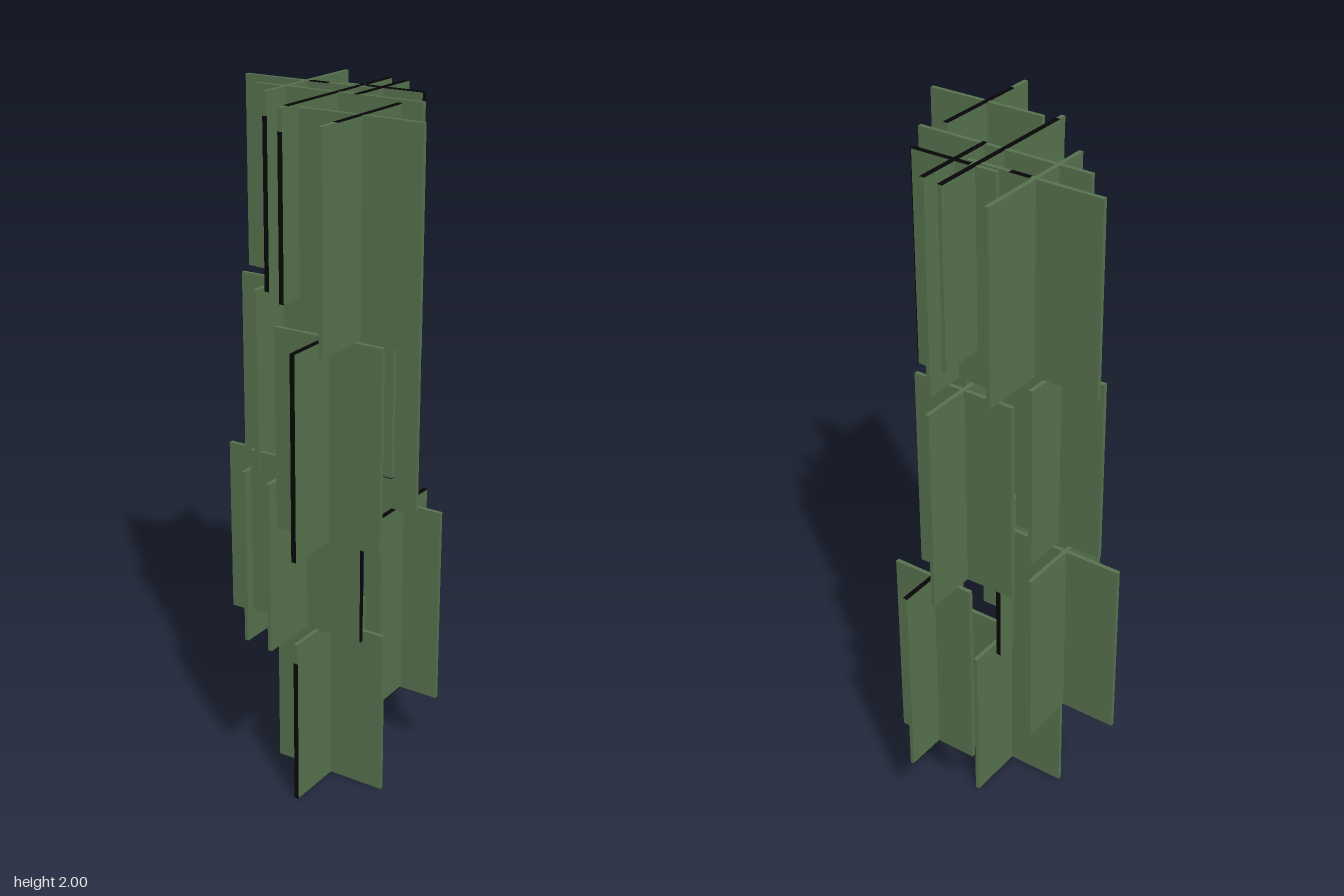
import * as THREE from 'three';

const T = 0.012; // blade thickness
const green = new THREE.MeshStandardMaterial({ color: 0x58734f });
green.name = 'leaf green';
const black = new THREE.MeshStandardMaterial({ color: 0x060606 });
black.name = 'black rim';

function box(name, w, h, d, x, y, z, material) {
  const mesh = new THREE.Mesh(new THREE.BoxGeometry(w, h, d), material);
  mesh.name = name;
  mesh.position.set(x, y, z);
  return mesh;
}

// One upright blade along local x. Each rim is [side, from, to], with fractions of that edge.
function blade(name, half, height, rims = []) {
  const g = new THREE.Group();
  g.name = name;
  g.add(box('bladePanel', 2 * half, height, T, 0, height / 2, 0, green));
  const t = 0.002, w = T + 0.001;
  for (const [side, a, b] of rims) {
    const mid = (a + b) / 2, len = b - a;
    if (side === 'top' || side === 'bottom') {
      const y = side === 'top' ? height - t / 2 + 0.0006 : t / 2 - 0.0006;
      g.add(box('darkRim', len * 2 * half, t, w, (mid - 0.5) * 2 * half, y, 0, black));
    } else {
      const s = side === 'end' ? 1 : -1;
      g.add(box('darkRim', t, len * height, w, s * (half - t / 2 + 0.0006), mid * height, 0, black));
    }
  }
  return g;
}

// Stalks of crossed blades: centre x, centre z, half width, bottom, top,
// rims of the sideways blade, rims of the front-to-back blade.
const stalks = {
  middleStalk: [
    [0.0075, -0.007, 0.178, 0, 0.5, [], [['end', 0, 0.88]]],
    [-0.0325, 0.055, 0.183, 0.5, 1, [['end', 0, 0.87]], [['start', 0, 1]]],
    [0.049, 0.017, 0.174, 1, 1.5, [['bottom', 0.5, 1]], [['top', 0.16, 0.6]]],
    [0.0075, -0.036, 0.258, 1.5, 2, [['end', 0.36, 0.42]], [['top', 0, 0.95], ['end', 0, 0.88]]],
  ],
  backStalk: [
    [0.098, -0.249, 0.127, 0.2, 0.8, [], [['top', 0, 1], ['bottom', 0, 1]]],
    [0.018, -0.202, 0.154, 0.8, 1.4, [], []],
    [0.068, -0.156, 0.127, 1.4, 2, [['top', 0.31, 1], ['end', 0, 1]], [['top', 0, 1]]],
  ],
  rightStalk: [
    [-0.233, -0.096, 0.168, 0.4, 0.933, [], []],
    [-0.19, -0.068, 0.134, 0.933, 1.467, [], []],
    [-0.153, -0.135, 0.195, 1.467, 2, [['top', 0.53, 0.68]], [['end', 0, 0.88]]],
  ],
  frontLeftStalk: [
    [0.143, 0.21, 0.163, 0.87, 1.435, [], [['top', 0, 1], ['end', 0, 1]]],
    [0.223, 0.19, 0.177, 1.435, 2, [], [['top', 0, 0.82]]],
  ],
};

export function createModel() {
  const model = new THREE.Group();
  model.name = 'leafyStalks';
  for (const [name, crosses] of Object.entries(stalks)) {
    const stalk = new THREE.Group();
    stalk.name = name;
    for (const [x, z, half, y0, y1, sideRims, depthRims] of crosses) {
      const cross = new THREE.Group();
      cross.name = 'crossedBlades';
      cross.position.set(x, y0, z);
      const depth = blade('depthBlade', half, y1 - y0, depthRims);
      depth.rotation.y = -Math.PI / 2; // local +x points to the front
      cross.add(blade('sideBlade', half, y1 - y0, sideRims), depth);
      stalk.add(cross);
    }
    model.add(stalk);
  }
  return model;
}
